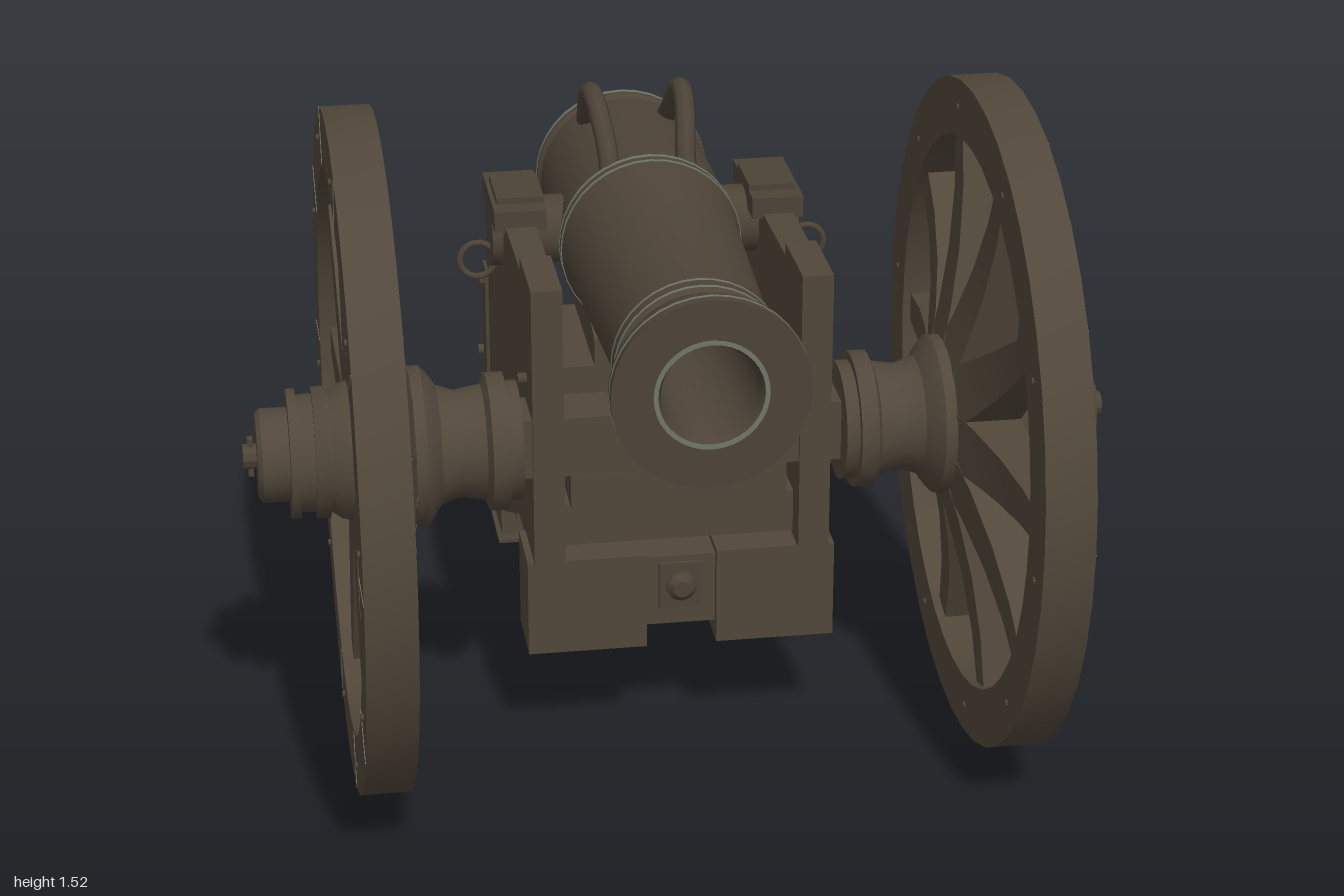
import * as THREE from 'three';
import { toCreasedNormals } from 'three/addons/utils/BufferGeometryUtils.js';

const paint = (name, color) => Object.assign(new THREE.MeshStandardMaterial({ color }), { name });
const wood = paint('dark wood', 0x51473a);
const iron = paint('brown iron', 0x4d4337);
const patina = paint('green patina', 0x6f7668);

function add(parent, name, geometry, material, x = 0, y = 0, z = 0) {
  const mesh = new THREE.Mesh(geometry, material);
  mesh.name = name;
  mesh.position.set(x, y, z);
  parent.add(mesh);
  return mesh;
}

// Box given by its limits on each axis
function block(parent, name, material, [x0, x1], [y0, y1], [z0, z1]) {
  return add(parent, name, new THREE.BoxGeometry(x1 - x0, y1 - y0, z1 - z0), material,
    (x0 + x1) / 2, (y0 + y1) / 2, (z0 + z1) / 2);
}

// Turned profile of [radius, position along the axis]
function turned(points, axis, segments = 32) {
  const g = new THREE.LatheGeometry(points.map(p => new THREE.Vector2(...p)), segments);
  if (axis === 'x') g.rotateZ(-Math.PI / 2);
  if (axis === 'z') g.rotateX(Math.PI / 2);
  return toCreasedNormals(g, 0.6);
}

// Outline in [z, y], extruded between two x positions
function slab(points, x0, x1) {
  const shape = new THREE.Shape(points.map(p => new THREE.Vector2(...p)));
  const g = new THREE.ExtrudeGeometry(shape, { depth: x1 - x0, bevelEnabled: false });
  return g.rotateY(-Math.PI / 2).translate(x1, 0, 0);
}

// Spoke: broad at the hub, narrow and dished outward at the rim
function spokeGeometry() {
  const g = new THREE.BoxGeometry(1, 1, 1, 1, 4, 1);
  const p = g.attributes.position;
  for (let i = 0; i < p.count; i++) {
    const t = p.getY(i) + 0.5;
    const inner = 0.67 - 0.09 * (1 - t) ** 2;
    p.setXYZ(i, p.getX(i) < 0 ? inner : 0.735, 0.1 + 0.55 * t, p.getZ(i) * (0.145 - 0.08 * t));
  }
  return toCreasedNormals(g, 0.4);
}

function makeWheel(name) {
  const wheel = new THREE.Group();
  wheel.name = name;
  add(wheel, 'rim', turned([[0.63, 0.65], [0.76, 0.65], [0.76, 0.76], [0.63, 0.76], [0.63, 0.65]], 'x', 40), wood);
  const spoke = spokeGeometry();
  const stud = new THREE.CylinderGeometry(0.008, 0.008, 0.008, 8).rotateZ(Math.PI / 2);
  const joint = new THREE.BoxGeometry(0.003, 0.128, 0.003);
  for (let i = 0; i < 10; i++) {
    const a = Math.PI / 2 + i * Math.PI / 5;
    add(wheel, 'spoke', spoke, wood).rotation.x = a;
    const b = a + 0.12;
    for (const x of [0.649, 0.762]) add(wheel, 'rimStud', stud, iron, x, 0.695 * Math.cos(b), 0.695 * Math.sin(b));
    add(wheel, 'rimJoint', joint, patina, 0.76, 0.695 * Math.cos(a), 0.695 * Math.sin(a)).rotation.x = a;
  }
  // Turned nave with bands, stepped outer cap and axle end
  add(wheel, 'hub', turned([[0, 0.36], [0.135, 0.36], [0.135, 0.39], [0.155, 0.39], [0.155, 0.43], [0.13, 0.44],
    [0.12, 0.5], [0.135, 0.54], [0.165, 0.56], [0.18, 0.575], [0.18, 0.6], [0.165, 0.61], [0.165, 0.7],
    [0.15, 0.76], [0.135, 0.78], [0.13, 0.85], [0.145, 0.85], [0.145, 0.87], [0.105, 0.87],
    [0.105, 0.93], [0.095, 0.94], [0, 0.94]], 'x', 24), wood);
  add(wheel, 'outerBand', turned([[0.135, 0.785], [0.147, 0.785], [0.147, 0.815], [0.135, 0.815]], 'x', 24), iron);
  add(wheel, 'axleEnd', turned([[0.028, 0.9], [0.028, 0.97], [0, 0.97]], 'x', 10), iron);
  add(wheel, 'linchPin', new THREE.BoxGeometry(0.012, 0.09, 0.02), iron, 0.953, 0, 0);
  wheel.position.set(0, 0.77, 0.24);
  return wheel;
}

function makeBarrel() {
  const barrel = new THREE.Group();
  barrel.name = 'barrel';
  barrel.position.y = 1.055;
  // Knob, breech, tapering tube, flared muzzle and bore
  add(barrel, 'tube', turned([[0, -1], [0.04, -0.99], [0.075, -0.95], [0.09, -0.91], [0.08, -0.87], [0.062, -0.83],
    [0.065, -0.81], [0.12, -0.8], [0.165, -0.77], [0.19, -0.72], [0.2, -0.67], [0.208, -0.67], [0.208, -0.64],
    [0.2, -0.63], [0.203, -0.4], [0.203, -0.2], [0.21, -0.2], [0.21, -0.16], [0.2, -0.14], [0.175, 0.5],
    [0.188, 0.51], [0.188, 0.56], [0.18, 0.57], [0.195, 0.62], [0.215, 0.66], [0.215, 0.7], [0.115, 0.7],
    [0.105, 0.68], [0.1, 0.2], [0, 0.17]], 'z', 36), iron);
  // Weathered bands
  for (const [r, z, w] of [[0.209, -0.665, 0.012], [0.211, -0.2, 0.012], [0.211, -0.166, 0.008],
    [0.189, 0.512, 0.008], [0.189, 0.55, 0.009], [0.216, 0.672, 0.008]])
    add(barrel, 'weatheredBand', turned([[r - 0.006, z], [r, z], [r, z + w], [r - 0.006, z + w]], 'z', 36), patina);
  add(barrel, 'muzzleRing', turned([[0.124, 0.699], [0.124, 0.702], [0.114, 0.702], [0.114, 0.699]], 'z', 36), patina);
  // Trunnions and lifting handles
  add(barrel, 'trunnions', new THREE.CylinderGeometry(0.08, 0.08, 0.72, 20).rotateZ(Math.PI / 2), iron, 0, 0, -0.31);
  for (const s of [-1, 1]) {
    const path = new THREE.CatmullRomCurve3([[0.09, 0.14, -0.2], [0.09, 0.2, -0.23], [0.1, 0.275, -0.3],
      [0.105, 0.3, -0.38], [0.105, 0.275, -0.46], [0.1, 0.205, -0.53], [0.095, 0.17, -0.57]]
      .map(([x, y, z]) => new THREE.Vector3(s * x, y, z)));
    add(barrel, 'liftingHandle', new THREE.TubeGeometry(path, 18, 0.024, 8), iron);
  }
  return barrel;
}

function makeCarriage() {
  const c = new THREE.Group();
  c.name = 'carriage';
  const cheek = [[0.31, 0.49], [0, 0.47], [-0.35, 0.31], [-0.81, 0.31], [-0.81, 0.56], [-0.76, 0.68], [-0.67, 0.83],
    [-0.58, 0.95], [-0.5, 1.03], [-0.44, 1.09], [-0.2, 1.11], [0.1, 1.12], [0.1, 1.15], [0.31, 1.15]];
  const bolt = new THREE.CylinderGeometry(0.014, 0.014, 0.02, 8).rotateZ(Math.PI / 2);
  for (const s of [-1, 1]) {
    const span = (a, b) => s > 0 ? [a, b] : [-b, -a];
    add(c, 'cheek', slab(cheek, ...span(0.265, 0.335)), wood);
    block(c, 'trailBeam', wood, span(0.17, 0.31), [0.31, 0.47], [-0.88, -0.3]);
    block(c, 'trailEnd', wood, span(0.16, 0.32), [0.38, 0.475], [-0.885, -0.77]);
    block(c, 'frontBolster', wood, span(0.08, 0.35), [0.26, 0.49], [0.13, 0.3]);
    block(c, 'foot', wood, span(0.17, 0.31), [0.1, 0.28], [-0.845, -0.65]);
    block(c, 'footPlate', iron, span(0.155, 0.32), [0.085, 0.094], [-0.87, -0.63]);
    // Trunnion cap and its lugs
    block(c, 'trunnionCap', iron, span(0.24, 0.36), [1.1, 1.15], [-0.45, -0.18]);
    block(c, 'capCrown', iron, span(0.24, 0.35), [1.14, 1.165], [-0.39, -0.23]);
    block(c, 'cheekStrap', iron, span(0.334, 0.343), [0.5, 0.84], [-0.67, -0.61]);
    for (const [y, z] of [[0.54, -0.64], [0.8, -0.64], [0.59, -0.7], [0.45, -0.5], [0.6, 0], [0.9, 0.2]])
      add(c, 'cheekBolt', bolt, iron, s * 0.345, y, z);
    // Hanging ring on a short eye
    add(c, 'sideRing', new THREE.TorusGeometry(0.042, 0.008, 8, 18), iron, s * 0.39, 0.99, -0.3);
    add(c, 'ringEye', bolt, iron, s * 0.343, 0.99, -0.3);
  }
  block(c, 'axleBeam', wood, [-0.37, 0.37], [0.7, 0.84], [0.17, 0.3]);
  block(c, 'upperTransom', wood, [-0.245, 0.245], [0.6, 0.68], [0.12, 0.26]);
  block(c, 'lowerTransom', wood, [-0.265, 0.265], [0.5, 0.6], [0.12, 0.24]);
  block(c, 'bolsterCentre', wood, [-0.09, 0.09], [0.305, 0.475], [0.14, 0.28]);
  block(c, 'boltPlate', iron, [-0.05, 0.05], [0.35, 0.46], [0.28, 0.29]);
  add(c, 'frontBolt', turned([[0.035, 0.28], [0.035, 0.3], [0.02, 0.315], [0, 0.315]], 'z', 10), iron, 0, 0.405, 0);
  block(c, 'rearTransom', wood, [-0.27, 0.27], [0.33, 0.45], [-0.74, -0.62]);
  block(c, 'middleTransom', wood, [-0.27, 0.27], [0.4, 0.52], [-0.3, -0.18]);
  block(c, 'breechBed', wood, [-0.265, 0.265], [0.61, 0.68], [-0.74, -0.35]);
  // Elevating wedge with its handle
  add(c, 'elevatingWedge', slab([[-0.8, 0.69], [-0.35, 0.68], [-0.35, 0.75], [-0.8, 0.87]], -0.11, 0.11), wood);
  add(c, 'wedgeHandle', turned([[0, -0.995], [0.018, -0.985], [0.026, -0.96], [0.022, -0.935], [0.014, -0.92],
    [0.016, -0.79]], 'z', 10), iron, 0, 0.79, 0);
  return c;
}

export function createModel() {
  const model = new THREE.Group();
  model.name = 'fieldCannon';
  const left = makeWheel('leftWheel');
  const right = makeWheel('rightWheel');
  right.rotation.y = Math.PI;
  model.add(left, right, makeBarrel(), makeCarriage());
  return model;
}
